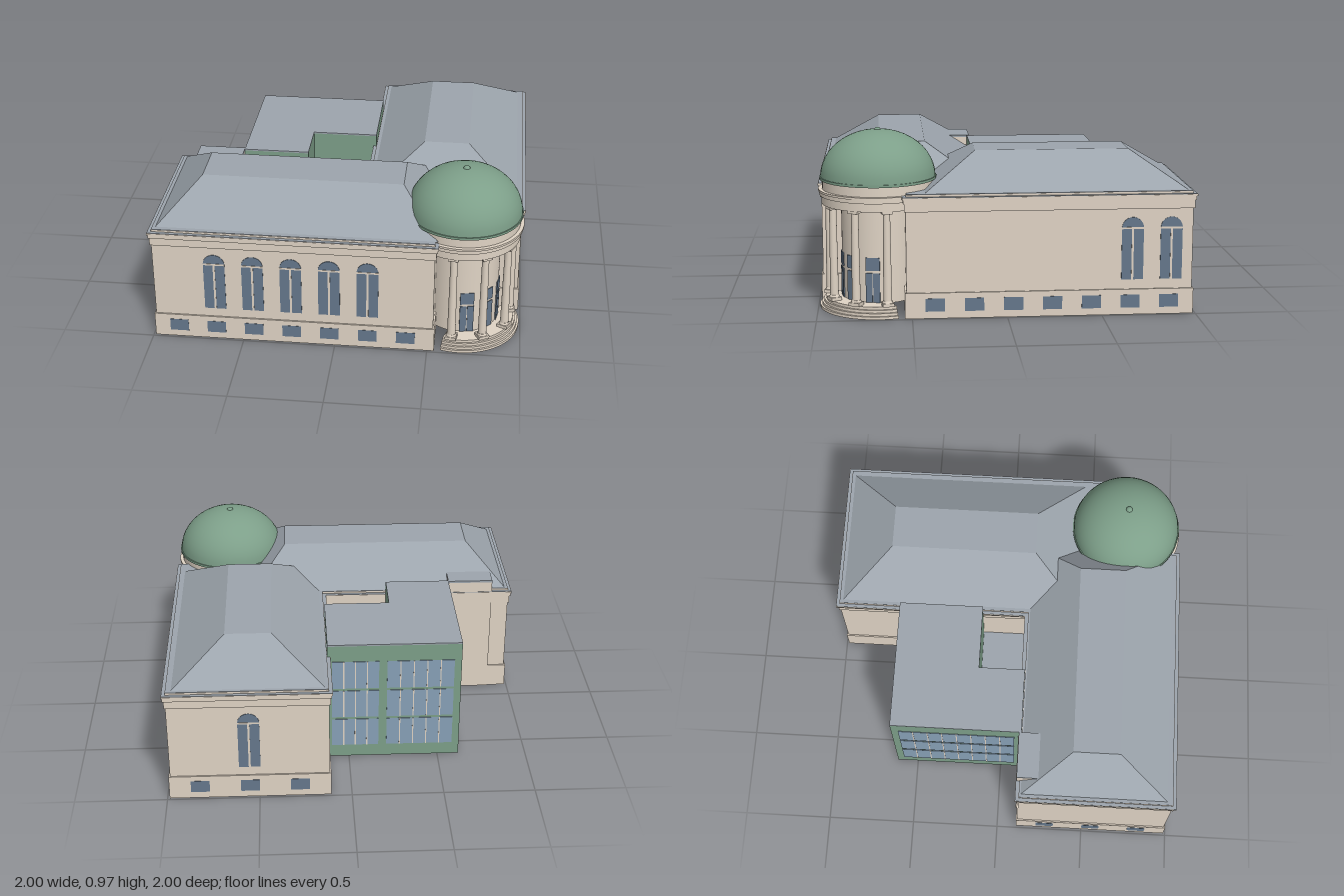
import * as THREE from 'three';

const mat = (name, color, double) => {
  const m = new THREE.MeshStandardMaterial({ color, side: double ? THREE.DoubleSide : THREE.FrontSide });
  m.name = name;
  return m;
};
const stone = mat('stone', 0xe0d4c5, true);
const slate = mat('slate', 0x9da5ad, true);
const green = mat('green copper', 0x7d9f89, true);
const pane = mat('window glass', 0x66788c);
const glass = mat('pavilion glass', 0x88a1b7);

const RC = 0.67; // rotunda centre in x and z

function add(parent, name, geo, material, x = 0, y = 0, z = 0) {
  const m = new THREE.Mesh(geo, material);
  m.name = name;
  m.position.set(x, y, z);
  parent.add(m);
  return m;
}
const box = (parent, name, material, w, h, d, x, y, z) =>
  add(parent, name, new THREE.BoxGeometry(w, h, d), material, x, y, z);

// Floor plan given as [x, z] points, raised from y0 to y1
const toPoints = (plan) => plan.map(([x, z]) => new THREE.Vector2(x, -z));
function slab(parent, name, material, plan, y0, y1, hole) {
  const shape = new THREE.Shape(toPoints(plan));
  if (hole) shape.holes.push(new THREE.Path(toPoints(hole)));
  const geo = new THREE.ExtrudeGeometry(shape, { depth: y1 - y0, bevelEnabled: false });
  geo.rotateX(-Math.PI / 2);
  return add(parent, name, geo, material, 0, y0, 0);
}

// L-shaped plan grown outwards by d
const plan = (d) => [
  [-0.98 - d, 0.98 + d], [0.53 + d, 0.98 + d], [0.53 + d, 0.53 + d], [0.98 + d, 0.53 + d],
  [0.98 + d, -0.98 - d], [0.12 - d, -0.98 - d], [0.12 - d, 0.12 - d], [-0.98 - d, 0.12 - d],
];

// Hipped roof with a flat top: [x0, x1, z0, z1] at eave and at top
function hipRoof(parent, name, eave, top, y0, y1) {
  const corners = ([x0, x1, z0, z1], y) => [[x0, y, z1], [x1, y, z1], [x1, y, z0], [x0, y, z0]];
  const a = corners(eave, y0), b = corners(top, y1), v = [];
  for (let i = 0; i < 4; i++) {
    const j = (i + 1) % 4;
    v.push(...a[i], ...a[j], ...b[j], ...a[i], ...b[j], ...b[i]);
  }
  v.push(...b[0], ...b[1], ...b[2], ...b[0], ...b[2], ...b[3]);
  const geo = new THREE.BufferGeometry();
  geo.setAttribute('position', new THREE.Float32BufferAttribute(v, 3));
  geo.computeVertexNormals();
  add(parent, name, geo, slate);
}

// Flat group on a wall, facing the given angle from +z towards +x
function onWall(parent, name, x, z, angle) {
  const g = new THREE.Group();
  g.name = name;
  g.position.set(x, 0, z);
  g.rotation.y = angle;
  parent.add(g);
  return g;
}

function archWindow(parent, x, z, angle) {
  const g = onWall(parent, 'archedWindow', x, z, angle);
  const r = 0.058, spring = 0.467;
  const s = new THREE.Shape();
  s.moveTo(-r, 0.19);
  s.lineTo(r, 0.19);
  s.lineTo(r, spring);
  s.absarc(0, spring, r, 0, Math.PI);
  add(g, 'archPane', new THREE.ExtrudeGeometry(s, { depth: 0.003, bevelEnabled: false, curveSegments: 12 }), pane);
  box(g, 'mullion', stone, 0.011, 0.277, 0.005, 0, 0.3285, 0.0025);
  box(g, 'transom', stone, 2 * r, 0.01, 0.005, 0, spring, 0.0025);
}

function basementWindow(parent, x, z, angle) {
  const g = onWall(parent, 'basementWindow', x, z, angle);
  box(g, 'basementPane', pane, 0.102, 0.07, 0.004, 0, 0.073, 0.0075);
}

function buildWings(root) {
  const g = new THREE.Group();
  g.name = 'wings';
  root.add(g);
  slab(g, 'plinth', stone, plan(0.008), 0, 0.138, plan(-0.012));
  slab(g, 'floor', stone, plan(-0.012), 0.13, 0.137);
  slab(g, 'walls', stone, plan(0), 0.136, 0.575);
  slab(g, 'frieze', stone, plan(0.007), 0.57, 0.62);
  slab(g, 'lowerCornice', stone, plan(0.013), 0.615, 0.64);
  slab(g, 'upperCornice', stone, plan(0.018), 0.635, 0.646);
  slab(g, 'corniceCover', slate, plan(0.016), 0.646, 0.649);
  slab(g, 'parapet', stone, plan(-0.002), 0.645, 0.659);
  slab(g, 'parapetCover', slate, plan(-0.004), 0.659, 0.662);

  hipRoof(g, 'frontRoof', [-0.96, 0.54, 0.13, 0.95], [-0.75, 0.34, 0.41, 0.67], 0.66, 0.84);
  hipRoof(g, 'sideRoof', [0.14, 0.95, -0.96, 0.43], [0.42, 0.67, -0.68, 0.15], 0.66, 0.84);

  // Flat-topped stair block on the courtyard wall
  box(g, 'stairBlock', stone, 0.26, 0.71, 0.125, -0.75, 0.355, 0.168);
  box(g, 'stairBlockRoof', slate, 0.26, 0.012, 0.125, -0.75, 0.716, 0.168);

  const q = Math.PI / 2, step = 0.206;
  for (let i = 0; i < 5; i++) archWindow(g, -0.648 + i * step, 0.98, 0);
  for (const z of [-0.66, -0.866]) archWindow(g, 0.98, z, q);
  archWindow(g, 0.55, -0.98, Math.PI);
  for (let i = 0; i < 7; i++) {
    basementWindow(g, -0.853 + i * step, 0.98, 0);
    basementWindow(g, 0.98, 0.38 - i * step, q);
  }
  for (const t of [-0.27, 0, 0.27]) {
    basementWindow(g, 0.55 + t, -0.98, Math.PI);
    basementWindow(g, -0.98, 0.55 + t, -q);
  }
}

function buildRotunda(root) {
  const g = new THREE.Group();
  g.name = 'rotunda';
  g.position.set(RC, 0, RC);
  root.add(g);
  const deg = Math.PI / 180;

  // Curved steps
  for (let i = 0; i < 4; i++) {
    const h = 0.015, r = 0.322 - i * 0.011;
    add(g, 'step', new THREE.CylinderGeometry(r, r, h, 32, 1, false, -18 * deg, 126 * deg),
      stone, 0, h * (i + 0.5), 0);
  }
  add(g, 'innerWall', new THREE.CylinderGeometry(0.2, 0.2, 0.52, 40, 1, true, -50 * deg, 190 * deg), stone, 0, 0.315, 0);

  // Door and window panes on the inner wall
  for (const a of [10, 45, 80]) {
    const w = onWall(g, 'entrance', Math.sin(a * deg) * 0.2, Math.cos(a * deg) * 0.2, a * deg);
    for (const s of [-1, 1]) box(w, 'doorLeaf', pane, 0.036, 0.16, 0.006, s * 0.02, 0.14, 0);
    box(w, 'transomLight', pane, 0.076, 0.07, 0.006, 0, 0.268, 0);
  }

  // Columns with square plinths and caps
  for (const a of [-9, 27, 63, 99]) {
    const c = onWall(g, 'column', Math.sin(a * deg) * 0.27, Math.cos(a * deg) * 0.27, a * deg);
    box(c, 'columnBase', stone, 0.06, 0.018, 0.06, 0, 0.069, 0);
    add(c, 'columnFoot', new THREE.CylinderGeometry(0.024, 0.028, 0.012, 20), stone, 0, 0.084, 0);
    add(c, 'columnShaft', new THREE.CylinderGeometry(0.019, 0.023, 0.47, 20), stone, 0, 0.32, 0);
    box(c, 'columnCap', stone, 0.055, 0.016, 0.055, 0, 0.563, 0);
  }

  // Entablature: stacked rings
  for (const [r, y0, y1] of [[0.304, 0.57, 0.617], [0.314, 0.615, 0.64], [0.32, 0.636, 0.648], [0.3, 0.645, 0.702]]) {
    add(g, 'entablatureRing', new THREE.CylinderGeometry(r, r, y1 - y0, 56), stone, 0, (y0 + y1) / 2, 0);
  }

  // Dome with rim and finial
  add(g, 'domeRim', new THREE.CylinderGeometry(0.312, 0.312, 0.014, 56), green, 0, 0.706, 0);
  const curve = [];
  for (let i = 0; i <= 12; i++) {
    const t = (i / 12) * Math.PI / 2;
    curve.push(new THREE.Vector2(i === 12 ? 0 : 0.307 * Math.cos(t), 0.71 + 0.25 * Math.sin(t)));
  }
  add(g, 'dome', new THREE.LatheGeometry(curve, 48), green);
  add(g, 'finial', new THREE.SphereGeometry(0.02, 16, 8), green, 0, 0.952, 0);
}

// Grid of panes on a pavilion wall, with slim stone bars
function curtainWall(parent, x, z, angle, width, bars) {
  const g = onWall(parent, 'curtainWall', x, z, angle);
  for (const y of [0.16, 0.345, 0.53]) {
    box(g, 'glassRow', glass, width, 0.17, 0.006, 0, y, 0);
    for (let i = 1; i <= bars; i++) {
      box(g, 'glazingBar', stone, 0.006, 0.17, 0.009, -width / 2 + (i * width) / (bars + 1), y, 0);
    }
  }
}

function buildPavilion(root) {
  const g = new THREE.Group();
  g.name = 'pavilion';
  root.add(g);
  // Outline shrunk inwards by d
  const outline = (d) => [
    [-0.62 + d, 0.12 - d], [-0.25 - d, 0.12 - d], [-0.25 - d, -0.14 - d],
    [0.12 - d, -0.14 - d], [0.12 - d, -0.62 + d], [-0.62 + d, -0.62 + d],
  ];
  slab(g, 'pavilionWalls', green, outline(0), 0, 0.712, outline(0.01));
  slab(g, 'pavilionRoof', slate, outline(0), 0.712, 0.72);
  box(g, 'courtyardFloor', slate, 0.37, 0.01, 0.26, -0.065, 0.3, -0.01);
  curtainWall(g, -0.035, -0.62, Math.PI, 0.26, 3);
  curtainWall(g, -0.395, -0.62, Math.PI, 0.37, 4);
  curtainWall(g, -0.62, -0.25, -Math.PI / 2, 0.66, 7);
}

export function createModel() {
  const root = new THREE.Group();
  root.name = 'domedBuilding';
  buildWings(root);
  buildRotunda(root);
  buildPavilion(root);
  return root;
}
